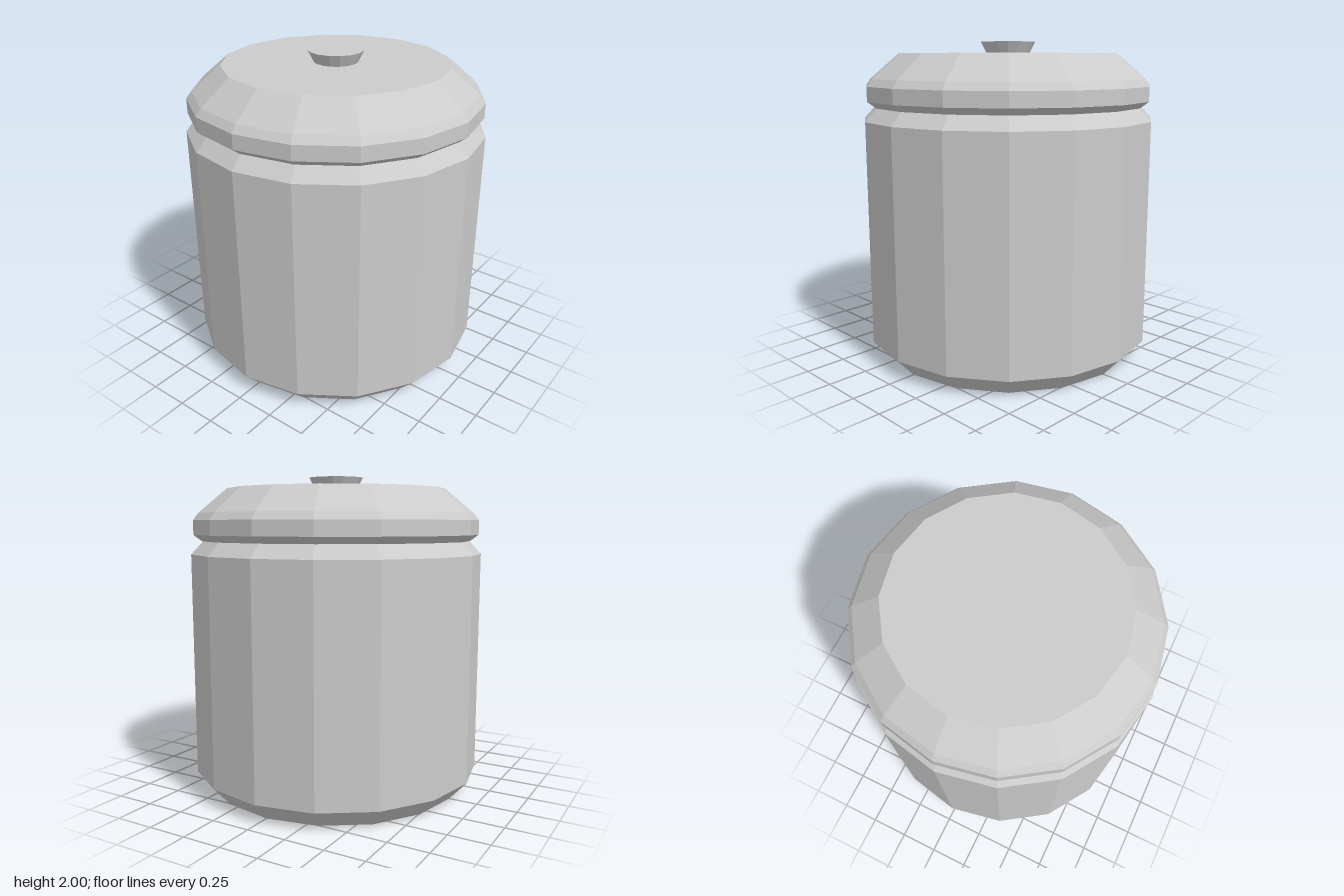
import * as THREE from 'three';

const SIDES = 16;

// Faceted turned part from [radius, height] pairs, listed bottom to top
function turned(name, profile) {
  const points = profile.map(([r, y]) => new THREE.Vector2(r, y));
  const material = new THREE.MeshStandardMaterial({ color: 0xcccccc, flatShading: true });
  const mesh = new THREE.Mesh(new THREE.LatheGeometry(points, SIDES), material);
  mesh.name = name;
  return mesh;
}

export function createModel() {
  const model = new THREE.Group();
  model.name = 'lidded jar';

  // Body with chamfered foot and shoulder
  model.add(turned('jarBody', [
    [0, 0], [0.82, 0], [0.93, 0.12], [0.93, 1.52], [0.855, 1.6], [0, 1.6],
  ]));

  // Lid with an undercut rim and sloping top
  model.add(turned('lid', [
    [0, 1.6], [0.86, 1.6], [0.913, 1.64], [0.913, 1.73], [0.88, 1.775], [0.7, 1.927], [0, 1.927],
  ]));

  // Flared knob
  model.add(turned('knob', [
    [0, 1.925], [0.135, 1.925], [0.173, 2], [0, 2],
  ]));

  return model;
}
